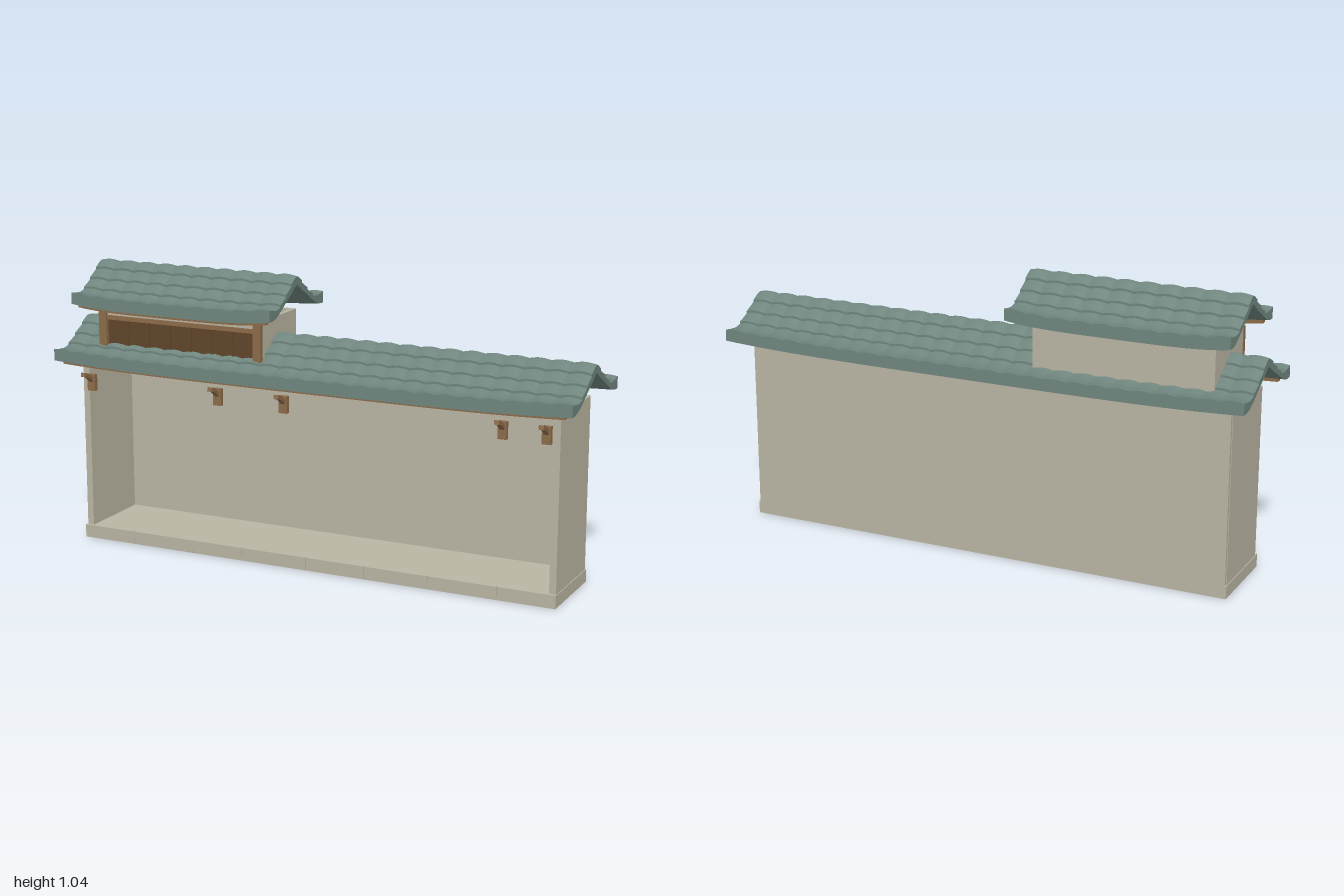
import * as THREE from 'three';
import { ParametricGeometry } from 'three/addons/geometries/ParametricGeometry.js';
import { mergeGeometries } from 'three/addons/utils/BufferGeometryUtils.js';

const mat = (name, color, side = THREE.FrontSide) => {
  const m = new THREE.MeshStandardMaterial({ color, side });
  m.name = name;
  return m;
};
const plaster = mat('plaster', 0xbab5a3);
const tile = mat('roofTile', 0x6f857e, THREE.DoubleSide);
const wood = mat('wood', 0x8c6b4a);
const darkWood = mat('darkWood', 0x5f4529);

// Box given by its extents
function box(parent, name, material, x0, x1, y0, y1, z0, z1) {
  const m = new THREE.Mesh(new THREE.BoxGeometry(x1 - x0, y1 - y0, z1 - z0), material);
  m.position.set((x0 + x1) / 2, (y0 + y1) / 2, (z0 + z1) / 2);
  m.name = name;
  parent.add(m);
  return m;
}

// Roof slope heights from ridge (0) to eave (1), relative to the ridge top
const curve = (pts) => {
  const c = new THREE.SplineCurve(pts.map((y, i) => new THREE.Vector2(i / (pts.length - 1), y)));
  return (t) => c.getPoint(Math.min(Math.max(t, 0), 1)).y;
};
const topLine = curve([0, -0.031, -0.063, -0.093, -0.11, -0.107]);
const underLine = curve([-0.027, -0.055, -0.08, -0.108, -0.13, -0.137]);

// Curved gable roof with stepped rows of rounded tiles
function makeRoof(name, length, half, columns) {
  const ROWS = 5, parts = [];
  const sweep = (x, t) => 0.016 * Math.pow(Math.abs(2 * x / length), 4) * t * t - 0.008 * t * t;
  const top = (x, t, row) => {
    const v = t * ROWS - row;
    const wave = 0.006 * Math.abs(Math.sin((x / length + 0.5) * columns * Math.PI));
    const step = row === ROWS - 1 ? 0.012 : 0.002 + 0.008 * v;
    return topLine(t) + step + wave + sweep(x, t);
  };
  const under = (x, t) => underLine(t) + sweep(x, t);
  const add = (fn, nu, nv) => parts.push(new ParametricGeometry(fn, nu, nv));

  for (const s of [1, -1]) {
    const xOf = (u) => -s * (u - 0.5) * length;
    for (let r = 0; r < ROWS; r++) {
      // tile surface
      add((u, v, p) => {
        const x = xOf(u), t = (r + v) / ROWS;
        p.set(x, top(x, t, r), s * half * t);
      }, columns * 6, 4);
      // step down to the next row, or the eave edge
      const t = (r + 1) / ROWS, last = r === ROWS - 1;
      add((u, v, p) => {
        const x = xOf(u), a = top(x, t, r);
        const b = last ? under(x, 1) : top(x, t, r + 1);
        p.set(x, a + (b - a) * v, s * half * t);
      }, columns * 6, 1);
      // gable ends
      for (const e of [1, -1]) {
        add((u, v, p) => {
          const tt = (r + (s * e > 0 ? u : 1 - u)) / ROWS, x = e * length / 2;
          const a = top(x, tt, r);
          p.set(x, a + (under(x, tt) - a) * v, s * half * tt);
        }, 4, 1);
      }
    }
    // smooth underside
    add((u, v, p) => {
      const x = -xOf(u);
      p.set(x, under(x, v), s * half * v);
    }, 24, 12);
  }
  const mesh = new THREE.Mesh(mergeGeometries(parts), tile);
  mesh.name = name;
  return mesh;
}

// Upswept beam below the front eave
function makeEaveBeam(name, length, x, y, z) {
  const g = new THREE.BoxGeometry(length, 0.018, 0.024, 24, 1, 1);
  const p = g.attributes.position;
  for (let i = 0; i < p.count; i++) {
    p.setY(i, p.getY(i) + 0.012 * Math.pow(Math.abs(2 * p.getX(i) / length), 4));
  }
  g.computeVertexNormals();
  const m = new THREE.Mesh(g, wood);
  m.name = name;
  m.position.set(x, y, z);
  return m;
}

// Wall plate with a curved arm; the profile is (z, y)
function makeBracket(x) {
  const g = new THREE.Group();
  g.name = 'bracket';
  box(g, 'bracketPlate', wood, -0.016, 0.016, 0.572, 0.634, 0.149, 0.166);
  const s = new THREE.Shape();
  s.moveTo(0.16, 0.6);
  s.quadraticCurveTo(0.19, 0.632, 0.22, 0.635);
  s.lineTo(0.217, 0.65);
  s.quadraticCurveTo(0.195, 0.648, 0.16, 0.618);
  s.closePath();
  const geo = new THREE.ExtrudeGeometry(s, { depth: 0.018, bevelEnabled: false, curveSegments: 6 });
  geo.rotateY(-Math.PI / 2);
  geo.translate(0.009, 0, 0);
  const arm = new THREE.Mesh(geo, wood);
  arm.name = 'bracketArm';
  g.add(arm);
  g.position.x = x;
  return g;
}

export function createModel() {
  const root = new THREE.Group();
  root.name = 'tiledGatehouse';

  // Base slab with a jointed front kerb
  box(root, 'baseSlab', plaster, -0.935, 0.935, 0, 0.046, -0.16, 0.152);
  const joints = [-0.935, -0.725, -0.47, -0.27, -0.01, 0.22, 0.465, 0.72, 0.935];
  for (let i = 0; i < joints.length - 1; i++) {
    box(root, 'kerbStone', plaster, joints[i] + (i ? 0.0015 : 0), joints[i + 1], 0, 0.048, 0.15, 0.162);
  }

  // Open-fronted hall
  box(root, 'backWall', plaster, -0.93, 0.93, 0.04, 0.675, -0.16, -0.147);
  for (const s of [1, -1]) {
    const a = s * 0.907, b = s * 0.932;
    box(root, 'sideWall', plaster, Math.min(a, b), Math.max(a, b), 0.04, 0.675, -0.147, 0.15);
  }
  for (const x of [-0.89, -0.36, -0.095, 0.73, 0.887]) root.add(makeBracket(x));

  // Main roof
  const mainRoof = makeRoof('mainRoof', 2, 0.238, 25);
  mainRoof.position.y = 0.82;
  root.add(mainRoof, makeEaveBeam('mainEaveBeam', 1.94, 0, 0.676, 0.213));

  // Upper storey
  const upper = new THREE.Group();
  upper.name = 'upperStorey';
  root.add(upper);
  box(upper, 'upperBackWall', plaster, -0.865, -0.2, 0.675, 0.885, -0.15, -0.137);
  box(upper, 'upperSideWall', plaster, -0.865, -0.85, 0.675, 0.885, -0.137, 0.122);
  box(upper, 'upperSideWall', plaster, -0.215, -0.2, 0.675, 0.885, -0.137, 0.122);
  box(upper, 'upperFrontBand', plaster, -0.84, -0.225, 0.856, 0.885, 0.112, 0.126);
  box(upper, 'cornerPost', wood, -0.868, -0.836, 0.675, 0.885, 0.12, 0.136);
  box(upper, 'cornerPost', wood, -0.229, -0.197, 0.675, 0.885, 0.12, 0.136);
  box(upper, 'lintel', wood, -0.836, -0.229, 0.84, 0.856, 0.116, 0.132);
  box(upper, 'shutterPanel', darkWood, -0.836, -0.229, 0.675, 0.84, 0.112, 0.121);
  for (let i = 1; i < 7; i++) {
    const x = -0.836 + i * 0.607 / 7;
    box(upper, 'shutterBatten', darkWood, x - 0.003, x + 0.003, 0.7, 0.84, 0.12, 0.125);
  }

  // Upper roof
  const upperRoof = makeRoof('upperRoof', 0.815, 0.2125, 10);
  upperRoof.position.set(-0.532, 1.031, -0.008);
  root.add(upperRoof, makeEaveBeam('upperEaveBeam', 0.77, -0.532, 0.886, 0.182));

  return root;
}
